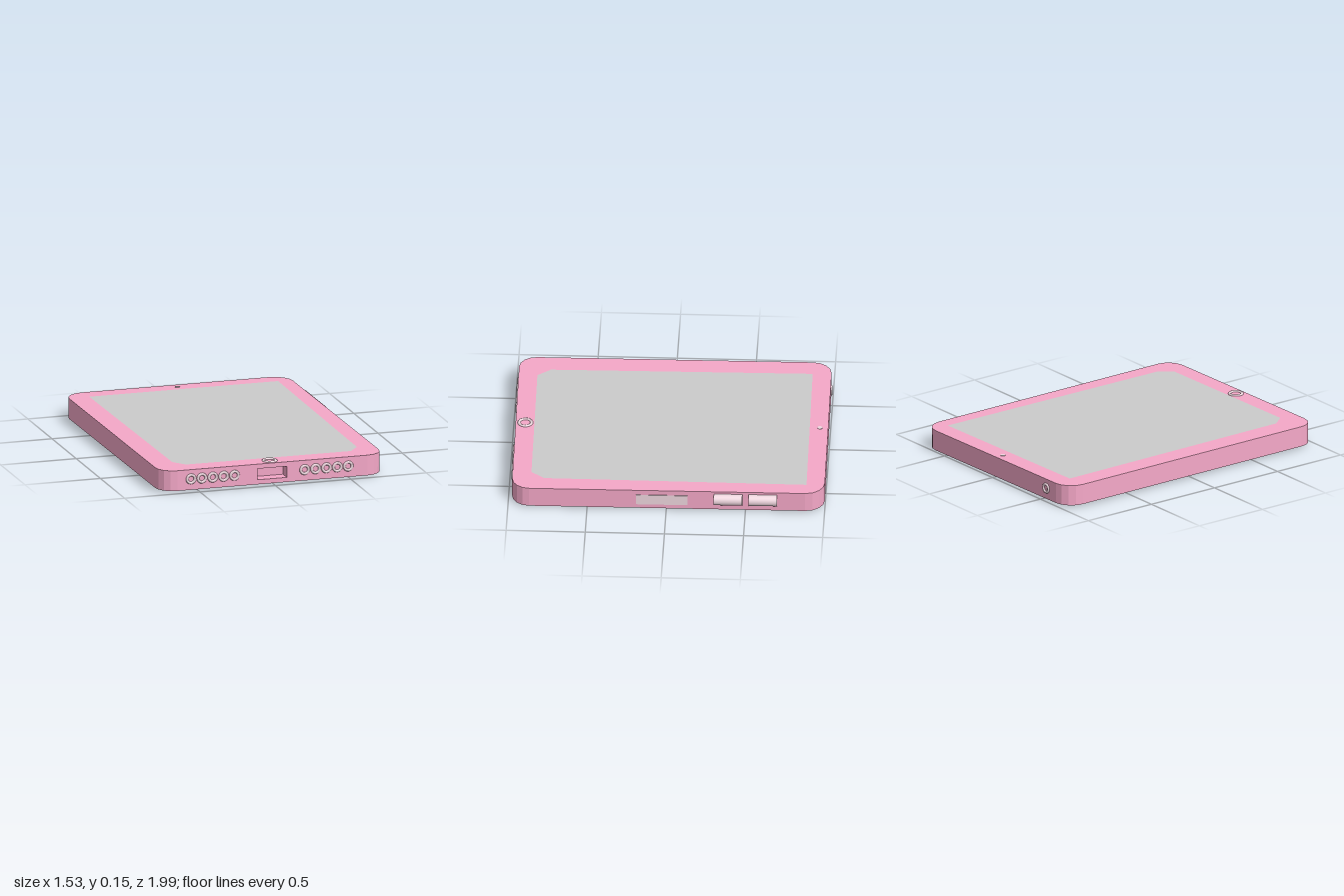
import * as THREE from 'three';

const HW = 0.742, HL = 0.987, HH = 0.066; // half width, length, height

const paint = (color, opts = {}) => new THREE.MeshStandardMaterial({ color, ...opts });
const pink = paint(0xf5a8c8);
const pale = paint(0xeed6de);
const grey = paint(0xcccccc, { side: THREE.DoubleSide });
const dark = paint(0x777777);

// Body outline in (x, -z); an optional notch is cut into the front edge
function outline(notch) {
  const s = new THREE.Shape();
  const corner = (cx, cy, r, a0) => {
    for (let i = 0; i <= 4; i++) {
      const a = a0 + (i / 4) * Math.PI / 2;
      s.lineTo(cx + r * Math.cos(a), cy + r * Math.sin(a));
    }
  };
  const f = 0.11, b = 0.12;
  s.moveTo(HW, -HL + f);
  corner(HW - b, HL - b, b, 0);
  corner(-HW + b, HL - b, b, Math.PI / 2);
  corner(-HW + f, -HL + f, f, Math.PI);
  if (notch) {
    s.lineTo(-0.1, -HL);
    s.lineTo(-0.1, -HL + 0.08);
    s.lineTo(0.095, -HL + 0.08);
    s.lineTo(0.095, -HL);
  }
  corner(HW - f, -HL + f, f, Math.PI * 1.5);
  return s;
}

export function createModel() {
  const root = new THREE.Group();
  root.name = 'tablet';
  const device = new THREE.Group();
  device.name = 'device';
  device.position.set(-0.02, 0.085, -0.006);
  device.rotation.set(0, 0.0065, -0.004);
  root.add(device);

  const add = (name, geometry, material, x = 0, y = 0, z = 0) => {
    const m = new THREE.Mesh(geometry, material);
    m.name = name;
    m.position.set(x, y, z);
    device.add(m);
    return m;
  };

  // Case in three layers, the middle one holding the charging port
  const layers = [['caseBottom', -HH, -0.036, false], ['caseMiddle', -0.036, 0.036, true], ['caseTop', 0.036, HH, false]];
  for (const [name, y0, y1, notch] of layers) {
    const g = new THREE.ExtrudeGeometry(outline(notch), { depth: y1 - y0, bevelEnabled: false });
    add(name, g.rotateX(-Math.PI / 2), pink, 0, y0);
  }

  // Screen with clipped front corners
  const pts = [[-0.609, -0.868], [0.646, -0.872], [0.626, 0.785], [0.56, 0.868], [-0.535, 0.868], [-0.6, 0.785]];
  const screen = new THREE.Shape(pts.map(([x, z]) => new THREE.Vector2(x, -z)));
  add('screen', new THREE.ShapeGeometry(screen).rotateX(-Math.PI / 2), grey, 0, HH + 0.002);

  // Home button ring and front camera
  add('homeButton', new THREE.TorusGeometry(0.04, 0.01, 8, 24).rotateX(Math.PI / 2), pale, 0, HH - 0.001, 0.926);
  add('frontCamera', new THREE.CylinderGeometry(0.016, 0.016, 0.004, 16), pale, -0.003, HH + 0.001, -0.934);

  // Two rows of five speaker rings
  for (const x0 of [-0.541, 0.214]) {
    for (let i = 0; i < 5; i++) {
      add('speakerRing', new THREE.TorusGeometry(0.026, 0.009, 8, 20), pale, x0 + i * 0.0722, 0.005, HL);
    }
  }

  // Headphone socket on the back edge
  add('headphoneSocket', new THREE.TorusGeometry(0.026, 0.009, 8, 20), pale, -0.52, 0.005, -HL);

  // Volume buttons and card tray on the side
  for (const z of [-0.6, -0.38]) {
    add('volumeButton', new THREE.CylinderGeometry(0.037, 0.037, 0.18, 20).rotateX(Math.PI / 2), pale, HW + 0.007, 0.014, z);
  }
  add('cardTray', new THREE.BoxGeometry(0.02, 0.07, 0.325), pale, HW - 0.006, -0.002, 0.04);

  // Rear camera and flash on the underside
  const lens = (name, r, x, z) => {
    add(name, new THREE.CylinderGeometry(r * 0.7, r * 0.7, 0.02, 20), dark, x, -HH, z);
    add(name + 'Rim', new THREE.TorusGeometry(r * 0.8, r * 0.2, 8, 20).rotateX(Math.PI / 2), dark, x, -HH - 0.006, z);
  };
  lens('rearCamera', 0.042, -0.565, -0.858);
  lens('flash', 0.017, -0.565, -0.762);

  return root;
}
